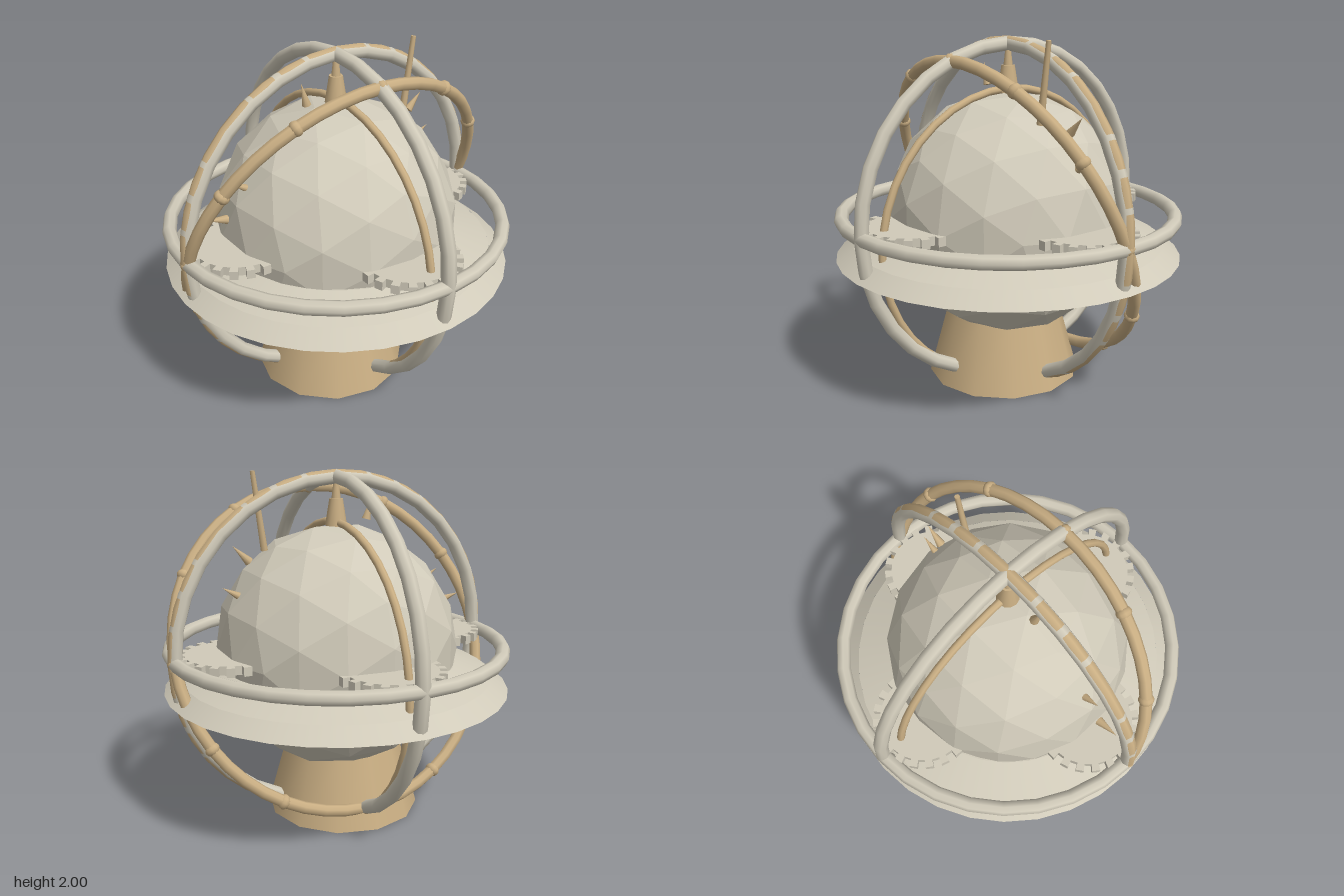
import * as THREE from 'three';

export function createModel() {
  const model = new THREE.Group();
  const stone = new THREE.MeshStandardMaterial({ color: 0xd0cab9 });
  stone.name = 'paleStone';
  const facetedStone = stone.clone();
  facetedStone.name = 'paleStoneFaceted';
  facetedStone.flatShading = true;
  const brass = new THREE.MeshStandardMaterial({ color: 0xc9ae83 });
  brass.name = 'brass';

  const add = (name, geometry, material, x = 0, y = 0, z = 0, parent = model) => {
    const mesh = new THREE.Mesh(geometry, material);
    mesh.name = name;
    mesh.position.set(x, y, z);
    parent.add(mesh);
    return mesh;
  };
  const ring = (name, radius, tube, material, segments, y = 1) =>
    add(name, new THREE.TorusGeometry(radius, tube, 8, segments), material, 0, y, 0);

  // Faceted globe on a tapered pedestal
  add('globe', new THREE.IcosahedronGeometry(0.7, 2), facetedStone, 0, 1, 0);
  add('pedestal', new THREE.CylinderGeometry(0.34, 0.45, 0.4, 12), brass, -0.045, 0.2, 0);

  // Three main rings, one per plane
  ring('horizonRing', 0.96, 0.04, stone, 32).rotation.x = Math.PI / 2;
  ring('sideRing', 0.96, 0.04, stone, 32).rotation.y = Math.PI / 2;
  ring('frontRing', 0.96, 0.04, stone, 32);

  // Brass facing on the front ring, and the smaller inner ring
  ring('frontRingFacing', 0.965, 0.036, brass, 40);
  ring('innerRing', 0.84, 0.022, brass, 40, 0.87).rotation.y = Math.PI / 2;

  // Tilted ring with a knuckle every 30 degrees
  const tilted = new THREE.Group();
  tilted.name = 'tiltedRing';
  tilted.position.y = 1;
  tilted.rotation.x = 0.41;
  model.add(tilted);
  add('tiltedBand', new THREE.TorusGeometry(0.96, 0.034, 8, 48), brass, 0, 0, 0, tilted);
  const knuckleShape = new THREE.SphereGeometry(0.043, 10, 8);
  for (let i = 0; i < 12; i++) {
    const a = (i * Math.PI) / 6;
    const knuckle = add('knuckle', knuckleShape, brass, 0.96 * Math.cos(a), 0.96 * Math.sin(a), 0, tilted);
    knuckle.rotation.z = a;
    knuckle.scale.y = 0.8;
  }

  // Sloped skirt around the globe
  add('skirtUpper', new THREE.CylinderGeometry(0.69, 0.9, 0.08, 32, 1, true), stone, 0, 0.88, 0);
  add('skirtRim', new THREE.CylinderGeometry(0.9, 1, 0.075, 32, 1, true), stone, 0, 0.803, 0);
  add('skirtUnderside', new THREE.RingGeometry(0.6, 1, 32), stone, 0, 0.765, 0).rotation.x = Math.PI / 2;
  add('skirtTop', new THREE.RingGeometry(0.6, 0.69, 32), stone, 0, 0.92, 0).rotation.x = -Math.PI / 2;

  // Four flat gears half sunk in the globe
  const teeth = 20;
  const gearShape = new THREE.Shape();
  for (let i = 0; i < teeth; i++) {
    [[-0.25, 0.25], [-0.25, 0.29], [0.25, 0.29], [0.25, 0.25]].forEach(([offset, r], k) => {
      const a = ((i + offset) * 2 * Math.PI) / teeth;
      const method = i + k === 0 ? 'moveTo' : 'lineTo';
      gearShape[method](r * Math.cos(a), r * Math.sin(a));
    });
  }
  gearShape.closePath();
  const gearGeometry = new THREE.ExtrudeGeometry(gearShape, { depth: 0.05, bevelEnabled: false });
  gearGeometry.rotateX(-Math.PI / 2);
  for (let i = 0; i < 4; i++) {
    const a = (i * Math.PI) / 2;
    add('gear', gearGeometry, stone, 0.65 * Math.cos(a), 0.975, 0.65 * Math.sin(a));
  }

  // Spikes pointing outward: one set on the globe, one floating
  const spikeGeometry = new THREE.ConeGeometry(0.026, 0.13, 8);
  for (let i = 0; i < 6; i++) {
    for (const [name, r, degrees] of [['spike', 0.72, 30], ['floatingSpike', 0.805, 45]]) {
      const a = THREE.MathUtils.degToRad(degrees + i * 60);
      const spike = add(name, spikeGeometry, brass, r * Math.cos(a), 1 + r * Math.sin(a), 0);
      spike.rotation.z = a - Math.PI / 2;
    }
  }

  // Finial on top of the globe
  add('finialBase', new THREE.CylinderGeometry(0.038, 0.062, 0.15, 12), brass, 0, 1.765, 0);
  add('finialTip', new THREE.CylinderGeometry(0.012, 0.026, 0.12, 10), brass, 0, 1.9, 0);

  // Leaning pointer rod
  const rod = add('pointerRod', new THREE.CylinderGeometry(0.014, 0.021, 0.44, 8), brass, 0.427, 1.78, 0.095);
  rod.rotation.z = -0.135;

  return model;
}
